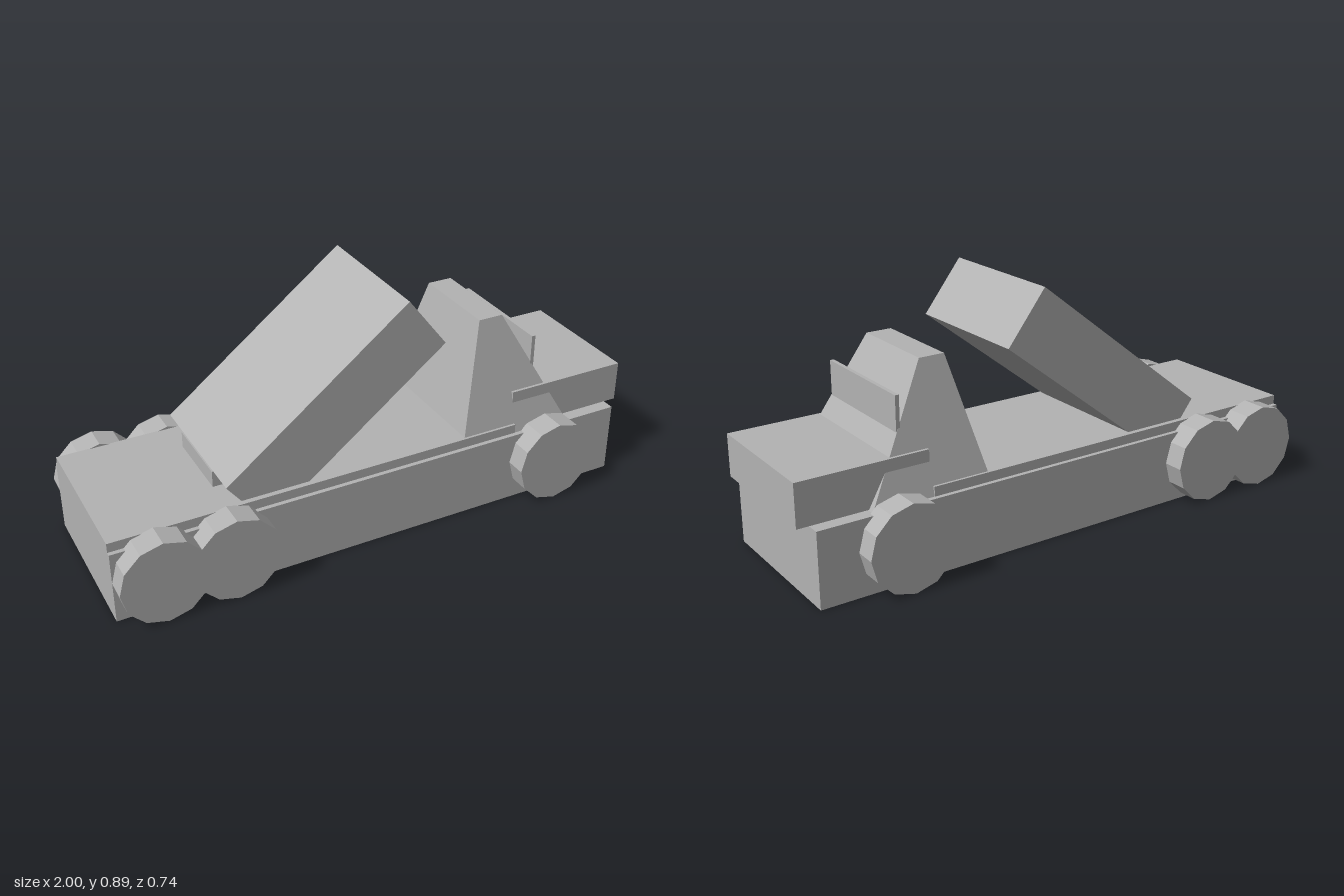
import * as THREE from 'three';

export function createModel() {
  const model = new THREE.Group();
  const grey = new THREE.MeshStandardMaterial({ color: 0xb3b3b3 });

  // Adds a mesh with crisp, faceted normals
  function add(name, geometry) {
    const geo = geometry.index ? geometry.toNonIndexed() : geometry;
    geo.computeVertexNormals();
    const mesh = new THREE.Mesh(geo, grey);
    mesh.name = name;
    model.add(mesh);
    return mesh;
  }

  // Box given by its x and y limits and half its width in z
  function block(x0, x1, y0, y1, halfZ) {
    return new THREE.BoxGeometry(x1 - x0, y1 - y0, halfZ * 2)
      .translate((x0 + x1) / 2, (y0 + y1) / 2, 0);
  }

  // Truck body
  add('chassis', block(-1, 0.955, 0, 0.266, 0.294));
  add('deck', block(-1, 0.53, 0.264, 0.3, 0.278));
  add('bonnet', block(0.53, 1, 0.268, 0.42, 0.25));
  add('windscreen', block(0.616, 0.63, 0.42, 0.612, 0.22));
  add('hingeBlock', block(-0.587, -0.48, 0.3, 0.36, 0.14));

  // Cab: a box tapered on all four sides
  const cab = new THREE.BoxGeometry(1, 1, 1);
  const p = cab.attributes.position;
  for (let i = 0; i < p.count; i++) {
    const top = p.getY(i) > 0;
    const front = p.getX(i) > 0;
    const x = top ? (front ? 0.513 : 0.42) : (front ? 0.753 : 0.312);
    p.setXYZ(i, x, top ? 0.7 : 0.266, Math.sign(p.getZ(i)) * (top ? 0.172 : 0.277));
  }
  add('cab', cab);

  // Raised launch container, its lower end sunk into the deck
  const container = add('launchContainer',
    new THREE.BoxGeometry(0.848, 0.235, 0.518));
  container.position.set(-0.1775, 0.5325, 0);
  container.rotation.z = Math.atan2(0.52, 0.67);

  // Twelve-sided wheels, one front and two rear axles
  for (const x of [-0.845, -0.595, 0.66]) {
    for (const side of [1, -1]) {
      const wheel = add(side > 0 ? 'rightWheel' : 'leftWheel',
        new THREE.CylinderGeometry(0.155, 0.155, 0.095, 12).rotateX(Math.PI / 2));
      wheel.position.set(x, 0.155, side * 0.3225);
    }
  }
  return model;
}
